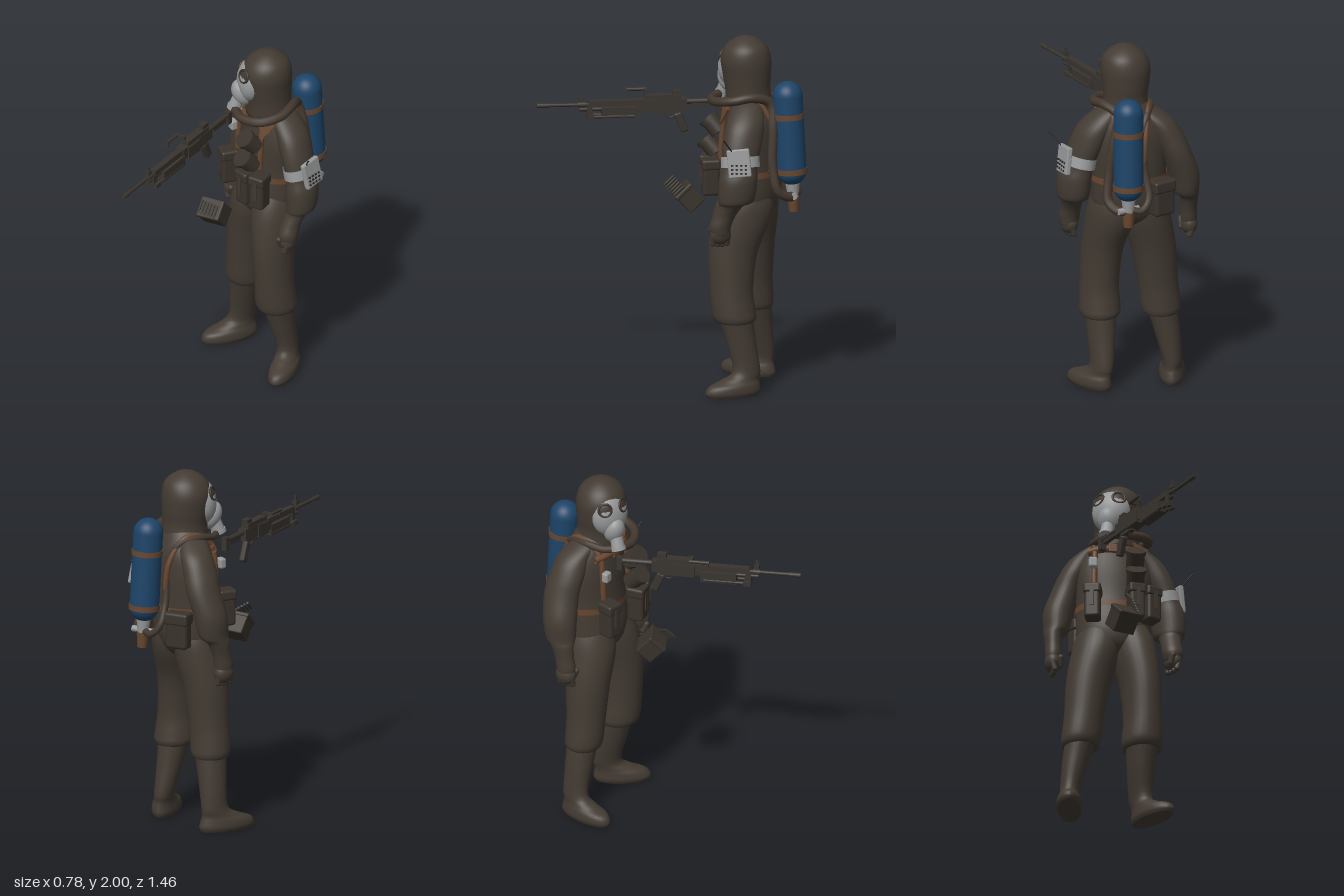
import * as THREE from 'three';
import { RoundedBoxGeometry } from 'three/addons/geometries/RoundedBoxGeometry.js';

const V = (x, y, z) => new THREE.Vector3(x, y, z);
const mat = (name, color, side = THREE.FrontSide) => {
  const m = new THREE.MeshStandardMaterial({ color, side });
  m.name = name;
  return m;
};

// Smooth body form through elliptical sections [y, x, z, rx, rz], bottom to top
function loft(sections, yaw = 0, seg = 28, sub = 5) {
  const mid = new THREE.CatmullRomCurve3(sections.map(s => V(s[1], s[0], s[2])), false, 'catmullrom', 0.5);
  const rad = new THREE.CatmullRomCurve3(sections.map(s => V(s[3], s[4], 0)), false, 'catmullrom', 0.5);
  const rows = (sections.length - 1) * sub, pos = [], idx = [];
  const c = Math.cos(yaw), s = Math.sin(yaw);
  for (let i = 0; i <= rows; i++) {
    const p = mid.getPoint(i / rows), r = rad.getPoint(i / rows);
    for (let j = 0; j < seg; j++) {
      const a = j / seg * Math.PI * 2;
      const x = Math.cos(a) * Math.max(r.x, 0), z = Math.sin(a) * Math.max(r.y, 0);
      pos.push(p.x + x * c + z * s, p.y, p.z - x * s + z * c);
    }
  }
  for (let i = 0; i < rows; i++) for (let j = 0; j < seg; j++) {
    const a = i * seg + j, b = i * seg + (j + 1) % seg;
    idx.push(a, a + seg, b, b, a + seg, b + seg);
  }
  // end caps
  const top = rows * seg;
  for (let j = 1; j < seg - 1; j++) idx.push(0, j, j + 1, top, top + j + 1, top + j);
  const g = new THREE.BufferGeometry();
  g.setAttribute('position', new THREE.Float32BufferAttribute(pos, 3));
  g.setIndex(idx);
  g.computeVertexNormals();
  return g;
}

const tube = (pts, r, n = 48) => new THREE.TubeGeometry(new THREE.CatmullRomCurve3(pts.map(p => V(...p))), n, r, 10);
const cyl = (r1, r2, h, n = 20) => new THREE.CylinderGeometry(r1, r2, h, n);
const box = (w, h, d) => new THREE.BoxGeometry(w, h, d);
const rbox = (w, h, d, r = 0.012) => new RoundedBoxGeometry(w, h, d, 3, r);
const ball = r => new THREE.SphereGeometry(r, 24, 16);

function add(parent, name, geo, material, pos = [0, 0, 0], rot = [0, 0, 0], scale = [1, 1, 1]) {
  const m = new THREE.Mesh(geo, material);
  m.name = name;
  m.position.set(...pos);
  m.rotation.set(...rot);
  m.scale.set(...scale);
  parent.add(m);
  return m;
}
function sub(parent, name, pos = [0, 0, 0], yaw = 0) {
  const g = new THREE.Group();
  g.name = name;
  g.position.set(...pos);
  g.rotation.y = yaw;
  parent.add(g);
  return g;
}

export function createModel() {
  const suit = mat('suitBrown', 0x433b33), pouch = mat('pouchBrown', 0x3a332c), hose = mat('hoseBrown', 0x43382f);
  const strap = mat('strapLeather', 0x67462f, THREE.DoubleSide), blue = mat('tankBlue', 0x1d4468);
  const grey = mat('paleGrey', 0x979899, THREE.DoubleSide), steel = mat('gunSteel', 0x39342e), black = mat('lensBlack', 0x2b2825);
  const model = new THREE.Group();
  model.name = 'suitedFigure';
  const yaw = -0.44;

  // Suit: torso, trousers, boots, sleeves, hood
  add(model, 'torso', loft([[0.93, -0.02, -0.41, 0.05, 0.05], [1.0, -0.02, -0.42, 0.16, 0.125], [1.07, -0.015, -0.425, 0.2, 0.153], [1.15, -0.01, -0.43, 0.206, 0.16],
    [1.3, -0.005, -0.44, 0.205, 0.152], [1.45, 0, -0.44, 0.218, 0.15], [1.55, 0, -0.44, 0.198, 0.142],
    [1.63, 0, -0.43, 0.15, 0.125], [1.7, 0, -0.42, 0.1, 0.1]], yaw, 36), suit);
  add(model, 'leftTrouserLeg', loft([[0.415, 0.115, -0.33, 0.085, 0.092], [0.41, 0.115, -0.33, 0.1, 0.107], [0.435, 0.113, -0.327, 0.112, 0.12], [0.48, 0.111, -0.32, 0.112, 0.121],
    [0.6, 0.107, -0.31, 0.105, 0.12], [0.8, 0.095, -0.32, 0.108, 0.137], [0.97, 0.078, -0.365, 0.122, 0.163], [1.08, 0.07, -0.39, 0.118, 0.155], [1.18, 0.06, -0.4, 0.09, 0.11]]), suit);
  add(model, 'rightTrouserLeg', loft([[0.415, -0.195, -0.47, 0.083, 0.085], [0.41, -0.195, -0.47, 0.097, 0.093], [0.435, -0.195, -0.467, 0.109, 0.104], [0.48, -0.192, -0.462, 0.112, 0.107],
    [0.6, -0.18, -0.455, 0.112, 0.11], [0.8, -0.155, -0.45, 0.125, 0.125], [0.97, -0.115, -0.445, 0.134, 0.143], [1.08, -0.095, -0.45, 0.122, 0.135], [1.18, -0.08, -0.45, 0.09, 0.1]]), suit);
  const boots = [
    ['left', 0.22, [[0.0, 0.173, -0.312, 0.062, 0.148], [0.025, 0.173, -0.312, 0.072, 0.158], [0.06, 0.17, -0.322, 0.069, 0.144],
      [0.09, 0.156, -0.355, 0.058, 0.106], [0.14, 0.142, -0.39, 0.055, 0.077], [0.3, 0.125, -0.36, 0.072, 0.084], [0.45, 0.115, -0.33, 0.086, 0.096]]],
    ['right', -0.57, [[0.0, -0.282, -0.44, 0.062, 0.156], [0.025, -0.282, -0.44, 0.072, 0.165], [0.06, -0.279, -0.445, 0.069, 0.151],
      [0.09, -0.262, -0.475, 0.058, 0.108], [0.14, -0.243, -0.505, 0.055, 0.077], [0.3, -0.22, -0.49, 0.072, 0.08], [0.45, -0.195, -0.47, 0.085, 0.09]]]];
  for (const [side, turn, s] of boots) add(model, side + 'Boot', loft(s, turn), suit);
  const arms = [
    ['left', 0.15, [[0.94, 0.256, -0.235, 0.047, 0.052], [0.99, 0.254, -0.235, 0.056, 0.061], [1.05, 0.259, -0.26, 0.053, 0.061],
      [1.11, 0.273, -0.295, 0.06, 0.07], [1.14, 0.283, -0.32, 0.08, 0.1], [1.25, 0.28, -0.33, 0.086, 0.107], [1.33, 0.262, -0.34, 0.076, 0.1],
      [1.45, 0.22, -0.36, 0.084, 0.11], [1.55, 0.175, -0.38, 0.084, 0.105], [1.63, 0.1, -0.4, 0.075, 0.08], [1.67, 0.05, -0.41, 0.04, 0.05]]],
    ['right', -0.35, [[0.92, -0.327, -0.545, 0.04, 0.047], [0.97, -0.325, -0.545, 0.045, 0.055], [1.03, -0.32, -0.555, 0.044, 0.056],
      [1.1, -0.31, -0.57, 0.052, 0.068], [1.14, -0.285, -0.582, 0.07, 0.088], [1.25, -0.267, -0.588, 0.084, 0.097], [1.38, -0.222, -0.585, 0.082, 0.1],
      [1.48, -0.185, -0.56, 0.084, 0.1], [1.57, -0.14, -0.53, 0.08, 0.09], [1.64, -0.08, -0.47, 0.06, 0.07], [1.68, -0.03, -0.44, 0.03, 0.04]]]];
  for (const [side, turn, s] of arms) {
    add(model, side + 'SleeveAndGlove', loft(s, turn), suit);
    // curled glove fingers and thumb
    const hand = sub(model, side + 'Hand', [s[0][1], s[0][0], s[0][2]], turn);
    const inner = side === 'left' ? -1 : 1;
    add(hand, side + 'Palm', ball(0.054), suit, [0, 0.005, 0], [0, 0, 0], [0.85, 1.1, 1.1]);
    for (let i = 0; i < 4; i++)
      add(hand, side + 'Finger' + i, new THREE.CapsuleGeometry(0.017, 0.045, 4, 10), suit, [-inner * 0.002, -0.028 - 0.006 * Math.sin(i), 0.04 - i * 0.026], [0, 0, 0.3 * inner]);
    add(hand, side + 'Thumb', new THREE.CapsuleGeometry(0.017, 0.045, 4, 10), suit, [inner * 0.037, 0, 0.035], [0.4, 0, 0]);
  }
  add(model, 'hood', loft([[1.6, 0, -0.42, 0.13, 0.13], [1.7, 0, -0.41, 0.122, 0.125], [1.78, -0.006, -0.405, 0.13, 0.136],
    [1.87, -0.006, -0.4, 0.137, 0.14], [1.94, 0, -0.4, 0.112, 0.115], [1.985, 0, -0.4, 0.055, 0.055], [2.0, 0, -0.4, 0, 0]], -0.78, 36), suit);

  // Breathing mask
  const mask = sub(model, 'mask', [-0.005, 0, -0.405], -0.84);
  add(mask, 'facePiece', ball(1), grey, [0, 1.815, 0.09], [-0.05, 0, 0], [0.108, 0.125, 0.078]);
  add(mask, 'snout', ball(1), grey, [0, 1.735, 0.14], [0.4, 0, 0], [0.058, 0.08, 0.055]);
  add(mask, 'outletValve', cyl(0.034, 0.038, 0.075), grey, [0, 1.67, 0.17], [-0.35, 0, 0]);
  add(mask, 'valveCap', cyl(0.042, 0.042, 0.02), grey, [0, 1.64, 0.181], [-0.35, 0, 0]);
  for (const k of [-1, 1]) {
    add(mask, 'lensRim', new THREE.TorusGeometry(0.035, 0.007, 10, 28), pouch, [k * 0.058, 1.873, 0.137], [-0.3, k * 0.5, 0]);
    add(mask, 'lens', ball(1), hose, [k * 0.057, 1.872, 0.134], [-0.3, k * 0.5, 0], [0.034, 0.034, 0.009]);
  }

  // Air hoses around the collar and down the back
  add(model, 'leftHose', tube([[-0.13, 1.64, -0.27], [-0.05, 1.635, -0.22], [0.07, 1.645, -0.23], [0.145, 1.665, -0.32], [0.148, 1.68, -0.42],
    [0.115, 1.64, -0.52], [0.15, 1.5, -0.535], [0.18, 1.3, -0.53], [0.2, 1.16, -0.56], [0.17, 1.12, -0.63], [0.13, 1.13, -0.645]], 0.026, 110), hose);
  add(model, 'rightHose', tube([[-0.13, 1.64, -0.27], [-0.15, 1.63, -0.36], [-0.125, 1.645, -0.47], [-0.05, 1.62, -0.555],
    [0.005, 1.5, -0.59], [0.0, 1.3, -0.62], [0.01, 1.17, -0.67], [0.06, 1.12, -0.68], [0.12, 1.13, -0.65]], 0.02, 100), hose);

  // Air cylinder with bands and valve, leaning slightly
  const tank = sub(model, 'airTank', [0.117, 1.47, -0.63]);
  tank.rotation.set(0.05, 0, 0.03);
  add(tank, 'tankBody', new THREE.CapsuleGeometry(0.082, 0.42, 12, 32), blue);
  for (const y of [0.1, -0.21]) {
    add(tank, 'tankBand', cyl(0.086, 0.086, 0.03, 32), strap, [0, y, 0]);
    add(tank, 'bandClip', box(0.07, 0.03, 0.12), strap, [-0.01, y, 0.09]);
  }
  add(tank, 'valveNeck', cyl(0.04, 0.03, 0.08), grey, [0, -0.315, 0]);
  add(tank, 'valveArm', cyl(0.018, 0.018, 0.13), grey, [0, -0.345, 0], [0, 0, Math.PI / 2]);
  add(tank, 'valveKnob', cyl(0.034, 0.028, 0.08, 12), strap, [0, -0.4, 0]);

  // Harness, belt and chest gear in the torso's own frame
  const gear = sub(model, 'harness', [0, 0, -0.44], yaw);
  add(gear, 'belt', new THREE.CylinderGeometry(1, 1, 0.035, 48, 1, true), strap, [0, 1.25, 0], [0, 0, 0], [0.215, 1, 0.166]);
  add(gear, 'chestStrap', tube([[-0.15, 1.57, 0.105], [-0.07, 1.58, 0.135], [0.05, 1.58, 0.14], [0.14, 1.59, 0.095]], 0.02, 24), strap);
  add(gear, 'chestBuckle', rbox(0.05, 0.05, 0.02, 0.006), strap, [-0.02, 1.58, 0.155]);
  // triangular shoulder patch where the straps meet
  const patch = new THREE.Shape([new THREE.Vector2(-0.06, 0.045), new THREE.Vector2(0.0, -0.065), new THREE.Vector2(0.05, 0.045)]);
  add(gear, 'strapPatch', new THREE.ExtrudeGeometry(patch, { depth: 0.009, bevelEnabled: false }), strap, [0.135, 1.575, 0.117], [-0.3, 0.6, 0]);
  for (const k of [-1, 1])
    add(gear, 'shoulderStrap', tube([[k * 0.12, 1.25, 0.147], [k * 0.12, 1.45, 0.138], [k * 0.115, 1.57, 0.12], [k * 0.115, 1.645, 0.05],
      [k * 0.1, 1.65, -0.05], [k * 0.08, 1.52, -0.14], [k * 0.06, 1.26, -0.16]], 0.016, 60), strap);
  for (const [x, z, turn] of [[-0.135, 0.195, -0.2], [0.1, 0.218, 0.2], [0.185, 0.183, 0.5]]) {
    const p = sub(gear, 'frontPouch', [x, 1.225, z], turn);
    add(p, 'pouchBody', rbox(0.088, 0.2, 0.095, 0.018), pouch);
    add(p, 'pouchFlap', rbox(0.098, 0.06, 0.105, 0.015), pouch, [0, 0.075, 0]);
    add(p, 'pouchStrap', box(0.022, 0.11, 0.006), hose, [0, 0.02, 0.052]);
  }
  for (const [y, z] of [[1.38, 0.23], [1.5, 0.215]]) {
    add(gear, 'chestCanister', cyl(0.05, 0.05, 0.1, 24), pouch, [0.1, y, z - 0.02], [0.75, 0, 0]);
    add(gear, 'canisterCap', cyl(0.056, 0.056, 0.025, 24), pouch, [0.1, y + 0.028, z + 0.008], [0.75, 0, 0]);
  }
  add(gear, 'chestRegulator', rbox(0.05, 0.06, 0.04), grey, [-0.13, 1.48, 0.17]);
  add(gear, 'rearPouch', rbox(0.13, 0.2, 0.08, 0.02), pouch, [-0.17, 1.155, -0.14], [0, 0.5, 0]);
  add(gear, 'rearPouchFlap', rbox(0.14, 0.07, 0.09, 0.015), pouch, [-0.17, 1.225, -0.14], [0, 0.5, 0]);

  // Arm band with panel and aerial
  const band = sub(model, 'armBand', [0.255, 1.35, -0.345]);
  add(band, 'bandLoop', new THREE.CylinderGeometry(0.98, 1, 0.06, 36, 1, true), grey, [0, 0, 0], [0, 0, 0.25], [0.086, 1, 0.108]);
  const panel = sub(band, 'bandPanel', [0.088, 0.015, 0.015], -0.1);
  add(panel, 'panelPlate', rbox(0.03, 0.155, 0.125, 0.008), grey, [0, 0, 0], [0.1, 0, 0.15]);
  for (let i = 0; i < 12; i++) {
    const row = Math.floor(i / 4) - 1;
    add(panel, 'panelKey', box(0.008, 0.01, 0.012), black, [0.021 - row * 0.003, -0.03 + row * 0.022, (i % 4 - 1.5) * 0.025], [0.1, 0, 0.15]);
  }
  add(panel, 'aerial', tube([[-0.01, 0.05, 0.03], [0.02, 0.1, 0.06], [0.055, 0.145, 0.085]], 0.004, 10), black);

  // Machine gun, muzzle towards the front
  const gun = sub(model, 'machineGun', [-0.175, 0, 0]);
  const block = (name, z0, z1, y0, y1, w, x = 0) => add(gun, name, box(w, y1 - y0, z1 - z0), steel, [x, (y0 + y1) / 2, (z0 + z1) / 2]);
  const rod = (name, z0, z1, y, r, x = 0) => add(gun, name, cyl(r, r, z1 - z0, 14), steel, [x, y, (z0 + z1) / 2], [Math.PI / 2, 0, 0]);
  rod('barrel', 0.15, 0.72, 1.58, 0.01);
  rod('flashHider', 0.67, 0.735, 1.58, 0.013);
  rod('gasTube', 0.2, 0.5, 1.553, 0.011);
  rod('barrelCollar', 0.47, 0.51, 1.58, 0.016);
  block('frontSightPost', 0.485, 0.5, 1.58, 1.65, 0.01);
  block('frontSightGuard', 0.478, 0.505, 1.6, 1.625, 0.024);
  block('heatShield', 0.18, 0.45, 1.57, 1.602, 0.036);
  block('handguard', 0.18, 0.38, 1.505, 1.565, 0.06);
  for (const k of [-1, 1]) {
    rod('foldedBipodLeg', 0.2, 0.46, 1.515, 0.009, k * 0.024);
    block('bipodFoot', 0.42, 0.46, 1.5, 1.525, 0.02, k * 0.024);
  }
  block('bipodMount', 0.43, 0.46, 1.51, 1.58, 0.03);
  block('receiver', -0.09, 0.19, 1.54, 1.605, 0.05);
  block('feedCover', -0.06, 0.14, 1.6, 1.628, 0.045);
  block('feedTray', 0.04, 0.15, 1.53, 1.6, 0.066);
  block('rearSight', -0.06, -0.01, 1.62, 1.652, 0.034);
  block('handleStem', 0.125, 0.14, 1.6, 1.645, 0.014, -0.012);
  block('handleArm', 0.125, 0.14, 1.637, 1.652, 0.06, -0.035);
  rod('carryHandle', 0.125, 0.235, 1.645, 0.01, -0.058);
  block('handleStrut', 0.22, 0.23, 1.615, 1.645, 0.012, -0.055);
  block('triggerBase', -0.05, 0.06, 1.52, 1.545, 0.03);
  add(gun, 'triggerGuard', new THREE.TorusGeometry(0.026, 0.004, 6, 16, Math.PI), steel, [0, 1.522, 0.0], [Math.PI, Math.PI / 2, 0]);
  add(gun, 'pistolGrip', rbox(0.034, 0.115, 0.045, 0.01), steel, [0, 1.47, -0.06], [0.4, 0, 0]);
  rod('stockTube', -0.26, -0.08, 1.585, 0.015);
  block('stockBody', -0.24, -0.12, 1.555, 1.58, 0.024);
  block('buttPlate', -0.285, -0.255, 1.53, 1.605, 0.034);

  // Hanging ammunition box with a short belt of rounds
  const ammo = sub(model, 'ammoBox', [-0.145, 1.05, -0.1]);
  ammo.rotation.set(0.75, 0.1, 0);
  add(ammo, 'ammoCase', rbox(0.135, 0.12, 0.11, 0.008), pouch);
  add(ammo, 'ammoLid', rbox(0.143, 0.025, 0.118, 0.008), pouch, [0, 0.055, 0]);
  for (let i = 0; i < 6; i++) {
    const x = 0.045 - i * 0.013, y = 0.075 + i * 0.013;
    add(ammo, 'round', cyl(0.007, 0.007, 0.06, 8), steel, [x, y, 0.01], [Math.PI / 2, 0, 0]);
    add(ammo, 'roundTip', new THREE.ConeGeometry(0.007, 0.025, 8), hose, [x, y, 0.0525], [Math.PI / 2, 0, 0]);
  }
  return model;
}
